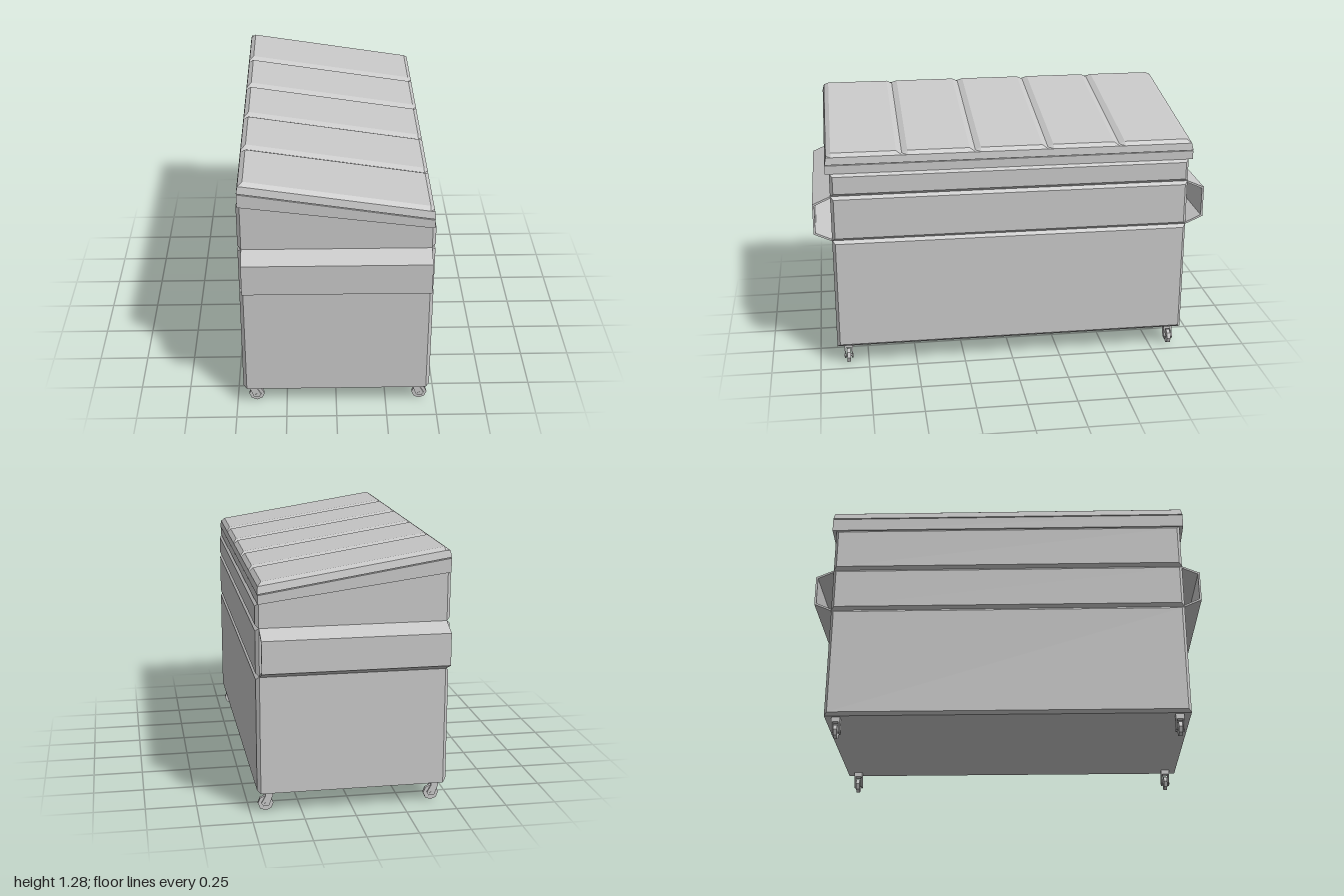
import * as THREE from 'three';

const HALF_Z = 0.91;

// Prism from an outline, centred on its extrusion axis.
function prism(points, depth) {
  const shape = new THREE.Shape(points.map(([x, y]) => new THREE.Vector2(x, y)));
  const g = new THREE.ExtrudeGeometry(shape, { depth, bevelEnabled: false });
  g.translate(0, 0, -depth / 2);
  return g;
}

// Closed skin over rings of equal length, each counterclockwise seen from +z.
function loft(rings) {
  const n = rings[0].length;
  const index = [];
  for (let k = 0; k < rings.length - 1; k++) {
    for (let i = 0; i < n; i++) {
      const a = k * n + i, b = k * n + (i + 1) % n;
      index.push(a, b, b + n, a, b + n, a + n);
    }
  }
  const last = (rings.length - 1) * n;
  for (let i = 1; i < n - 1; i++) {
    index.push(0, i + 1, i, last, last + i, last + i + 1);
  }
  const g = new THREE.BufferGeometry();
  g.setAttribute('position', new THREE.Float32BufferAttribute(rings.flat(2), 3));
  g.setIndex(index);
  const flat = g.toNonIndexed();
  flat.computeVertexNormals();
  return flat;
}

// Side panel whose outer face is inset to make chamfered edges.
function chamferedPanel(side, y0, y1) {
  const inset = 0.015, thick = 0.017;
  const h = y1 - y0;
  const g = new THREE.BoxGeometry(thick, h, HALF_Z * 2).toNonIndexed();
  const p = g.attributes.position;
  for (let i = 0; i < p.count; i++) {
    if (p.getX(i) * side > 0) {
      p.setY(i, p.getY(i) * (1 - 2 * inset / h));
      p.setZ(i, p.getZ(i) * (1 - inset / HALF_Z));
    }
  }
  g.translate(side * (0.45 + thick / 2), (y0 + y1) / 2, 0);
  g.computeVertexNormals();
  return g;
}

// Sloping lid with bevelled edges and V grooves between five sections.
function lidGeometry() {
  const base = (x) => 1.1645 - 0.157 * x;
  const ring = (z, topRise, foot = 0) => [
    [-0.461, 0, foot], [0.459, 0, foot], [0.455, 0.036, 0],
    [0.436, topRise, 0], [-0.432, topRise, 0], [-0.455, 0.033, 0],
  ].map(([x, rise, dz]) => [x, base(x) + rise, z + dz]);
  const rings = [ring(-0.922, 0.036, -0.008), ring(-0.898, 0.051)];
  for (const c of [-0.549, -0.183, 0.183, 0.549]) {
    rings.push(ring(c - 0.028, 0.051), ring(c, 0.038), ring(c + 0.028, 0.051));
  }
  rings.push(ring(0.898, 0.051), ring(0.922, 0.036, 0.008));
  return loft(rings);
}

export function createModel() {
  const model = new THREE.Group();
  model.name = 'dumpster';
  const grey = new THREE.MeshStandardMaterial({ color: 0xc8c8c8, flatShading: true });
  grey.name = 'grey metal';

  const add = (name, geometry, parent = model) => {
    const mesh = new THREE.Mesh(geometry, grey);
    mesh.name = name;
    parent.add(mesh);
    return mesh;
  };

  // Container with a sloping top
  add('body', prism([[-0.45, 0.105], [0.45, 0.105], [0.45, 1.046], [-0.45, 1.164]], HALF_Z * 2));

  // Three stacked panels on each long side
  for (const side of [-1, 1]) {
    const top = side < 0 ? 1.165 : 1.046;
    const levels = [[0.105, 0.692], [0.692, 0.927], [0.927, top]];
    levels.forEach(([y0, y1], i) =>
      add(`${side < 0 ? 'right' : 'left'}Panel${i + 1}`, chamferedPanel(side, y0, y1)));
  }

  // Rim under the lid, then the lid with a hairline gap
  add('rim', prism([[-0.46, 1.165], [0.457, 1.045], [0.457, 1.088], [-0.46, 1.232]], 1.86));
  add('lid', lidGeometry());

  // Open-ended lifting pockets on both short ends
  const channel = [
    [0.905, 0.69], [0.91, 0.69], [1, 0.73], [1, 0.888], [0.91, 0.927], [0.905, 0.927],
    [0.905, 0.917], [0.91, 0.917], [0.99, 0.881], [0.99, 0.737], [0.91, 0.7], [0.905, 0.7],
  ];
  for (const end of [-1, 1]) {
    const g = prism(channel, 0.9);
    g.rotateY(-end * Math.PI / 2);
    add(end > 0 ? 'frontLiftPocket' : 'backLiftPocket', g);
  }

  // Casters: tilted fork plates, bridge, axle and octagonal wheel
  const forkOutline = [
    [-0.034, 0.107], [-0.034, 0.08], [-0.016, 0.03], [0.012, 0.026],
    [0.022, 0.042], [0.001, 0.08], [0.001, 0.107],
  ];
  for (const x of [-0.403, 0.422]) {
    for (const z of [-0.853, 0.853]) {
      const caster = new THREE.Group();
      caster.name = 'caster';
      caster.position.set(x, 0, z);
      model.add(caster);
      for (const s of [-1, 1]) {
        const plate = prism(forkOutline, 0.007);
        plate.translate(0, 0, s * 0.018);
        add('forkPlate', plate, caster);
      }
      const bridge = new THREE.BoxGeometry(0.035, 0.026, 0.036);
      bridge.translate(-0.0165, 0.093, 0);
      add('forkBridge', bridge, caster);
      for (const [name, r, w] of [['wheel', 0.038, 0.018], ['axle', 0.008, 0.046]]) {
        const g = new THREE.CylinderGeometry(r, r, w, 8);
        g.rotateX(Math.PI / 2);
        g.translate(0, 0.038, 0);
        add(name, g, caster);
      }
    }
  }
  return model;
}
